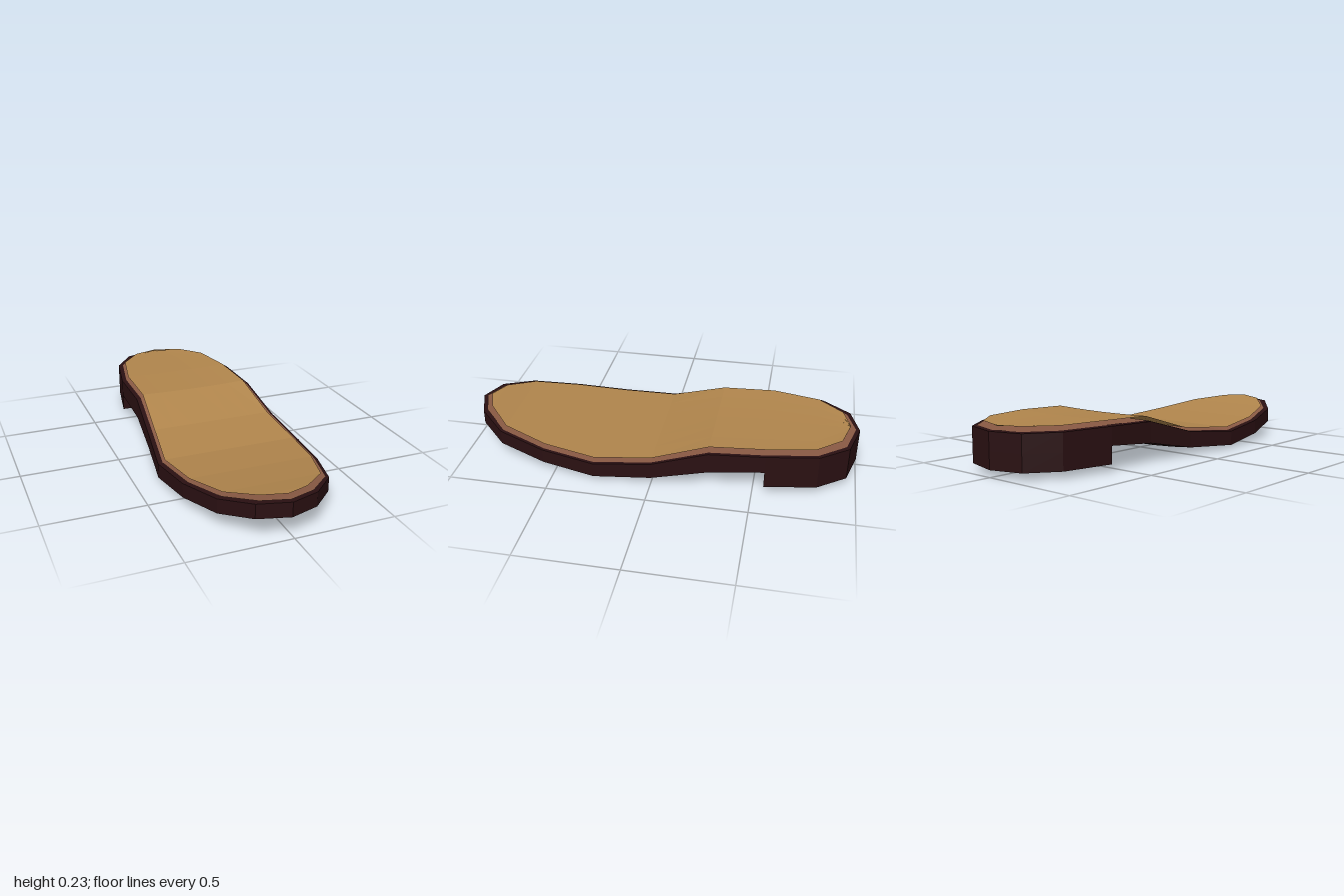
import * as THREE from 'three';

// Stations from heel to toe: [z, left edge x, right edge x, top y, bottom y]
const STATIONS = [
  [-1, 0, 0, 0.207, 0.12],
  [-0.952, -0.16, 0.18, 0.207, 0.12],
  [-0.81, -0.265, 0.285, 0.208, 0.12],
  [-0.555, -0.315, 0.33, 0.209, 0.12],
  [-0.28, -0.312, 0.345, 0.2, 0.095],
  [0, -0.337, 0.367, 0.12, 0.039],
  [0.29, -0.38, 0.378, 0.092, 0.018],
  [0.56, -0.35, 0.34, 0.115, 0.043],
  [0.805, -0.28, 0.265, 0.15, 0.078],
  [0.948, -0.165, 0.13, 0.176, 0.104],
  [1, -0.015, -0.015, 0.183, 0.11],
];
const COLUMNS = 6;

// One row of points across a station; u runs -1..1
function across(xMin, xMax, z, height) {
  return Array.from({ length: COLUMNS + 1 }, (_, i) => {
    const t = i / COLUMNS;
    return new THREE.Vector3(xMin + (xMax - xMin) * t, height(2 * t - 1), z);
  });
}

// Skin rows of points, closing them into rings when the part is solid
function loft(rows, closed) {
  const positions = [];
  const tri = (a, b, c) => {
    if (new THREE.Triangle(a, b, c).getArea() < 1e-7) return;
    for (const p of [a, b, c]) positions.push(p.x, p.y, p.z);
  };
  const n = rows[0].length;
  for (let i = 0; i < rows.length - 1; i++) {
    for (let j = 0; j < (closed ? n : n - 1); j++) {
      const k = (j + 1) % n;
      tri(rows[i][j], rows[i + 1][j], rows[i + 1][k]);
      tri(rows[i][j], rows[i + 1][k], rows[i][k]);
    }
  }
  if (closed) {
    const first = rows[0], last = rows[rows.length - 1];
    for (let j = 1; j < n - 1; j++) {
      tri(first[0], first[j], first[j + 1]);
      tri(last[0], last[j + 1], last[j]);
    }
  }
  const geometry = new THREE.BufferGeometry();
  geometry.setAttribute('position', new THREE.Float32BufferAttribute(positions, 3));
  geometry.computeVertexNormals();
  return geometry;
}

// Solid between a top and a bottom height rule
function slab(stations, top, bottom) {
  return loft(stations.map((s) => [
    ...across(s[1], s[2], s[0], (u) => top(s, u)),
    ...across(s[1], s[2], s[0], (u) => bottom(s, u)).reverse(),
  ]), true);
}

// Open sheet following the sole, drawn in from its edge
function sheet(insetLeft, insetRight, insetEnd, height) {
  return loft(STATIONS.map((s) => {
    const [z, l, r] = s;
    const tip = Math.abs(z) === 1;
    const zIn = z - Math.sign(z) * insetEnd * z ** 4;
    return across(tip ? l : l + insetLeft, tip ? r : r - insetRight, zIn, (u) => height(s, u));
  }), false);
}

export function createModel() {
  const model = new THREE.Group();
  model.name = 'shoeSole';
  const add = (name, geometry, color) => {
    const material = new THREE.MeshStandardMaterial({ color, flatShading: true, side: THREE.DoubleSide });
    const mesh = new THREE.Mesh(geometry, material);
    mesh.name = name;
    model.add(mesh);
  };

  // Outsole, its underside bulging slightly under the ball of the foot
  const bulge = ([z], u) => (z > -0.2 ? 0.018 * (1 - z * z) * (1 - u * u) : 0);
  add('outsole', slab(STATIONS, (s) => s[3], (s, u) => s[4] - bulge(s, u)), 0x2a1012);

  // Heel block with a straight front face
  add('heel', slab(STATIONS.slice(0, 4), () => 0.121, () => 0.035), 0x2a1012);

  // Midsole layer showing as a rim round the insole
  add('midsole', sheet(0.023, 0.013, 0.02, (s) => s[3] + 0.003), 0x8a5a44);

  // Insole sheet, slightly cupped at the heel
  add('insole', sheet(0.034, 0.032, 0.047,
    ([z, , , y], u) => y + 0.017 + (z < -0.2 ? 0.006 * u * u : 0)), 0xb0854c);

  return model;
}
